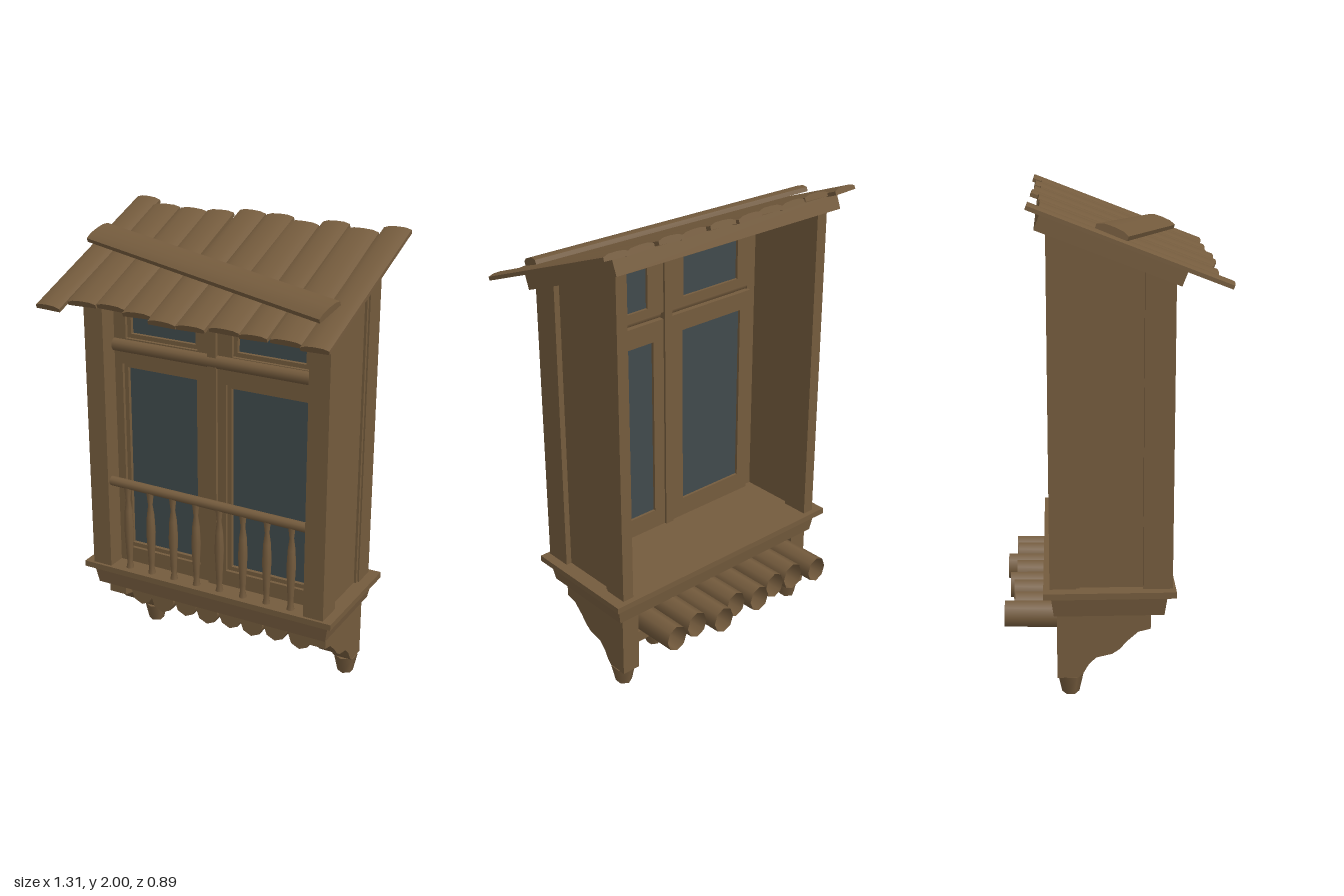
import * as THREE from 'three';
import { toCreasedNormals } from 'three/addons/utils/BufferGeometryUtils.js';

export function createModel() {
  const model = new THREE.Group();
  model.name = 'balconyWindow';
  const wood = new THREE.MeshStandardMaterial({ color: 0x745b3d, side: THREE.DoubleSide });
  wood.name = 'wood';
  const glass = new THREE.MeshStandardMaterial({ color: 0x404a4c, side: THREE.DoubleSide });
  glass.name = 'glass';

  function add(name, geo, x = 0, y = 0, z = 0, parent = model, mat = wood) {
    const m = new THREE.Mesh(geo, mat);
    m.name = name;
    m.position.set(x, y, z);
    parent.add(m);
    return m;
  }
  // Box given by its limits
  const block = (name, x0, x1, y0, y1, z0, z1, parent, mat) =>
    add(name, new THREE.BoxGeometry(x1 - x0, y1 - y0, z1 - z0),
      (x0 + x1) / 2, (y0 + y1) / 2, (z0 + z1) / 2, parent, mat);
  const polygon = (pts) => new THREE.Shape(pts.map((p) => new THREE.Vector2(p[0], p[1])));
  const extrude = (shape, depth) =>
    new THREE.ExtrudeGeometry(shape, { depth, bevelEnabled: false, curveSegments: 6 });
  // Side profile in (z, y), extruded across x from x0 to x1
  function sidePiece(name, pts, x0, x1) {
    const g = extrude(polygon(pts.map(([z, y]) => [-z, y])), x1 - x0);
    g.rotateY(Math.PI / 2);
    return add(name, g, x0, 0, 0);
  }
  // Round bar lying along x
  function bar(name, x0, x1, y, z, r, sides = 10) {
    const m = add(name, new THREE.CylinderGeometry(r, r, x1 - x0, sides), (x0 + x1) / 2, y, z);
    m.rotation.z = Math.PI / 2;
    return m;
  }
  // Plank with a slightly arched top, running along z
  function plank(name, width, length, t, parent) {
    const w = width / 2;
    const s = polygon([[-w, -t], [w, -t], [w, 0.2 * t], [w * 0.6, t * 0.85], [0, t],
      [-w * 0.6, t * 0.85], [-w, 0.2 * t]]);
    const g = extrude(s, length);
    g.translate(0, 0, -length / 2);
    return add(name, toCreasedNormals(g, 0.6), 0, 0, 0, parent);
  }

  // Roof, tilted down towards the front
  const slope = Math.atan(0.385), c = Math.cos(slope);
  const roof = new THREE.Group();
  roof.name = 'roof';
  roof.position.y = 1.859;
  roof.rotation.x = slope;
  model.add(roof);
  const planks = [ // x start, x end, back z, front z
    [-0.64, -0.527, -0.328, 0.437], [-0.525, -0.392, -0.285, 0.39], [-0.39, -0.262, -0.285, 0.382],
    [-0.26, -0.132, -0.29, 0.403], [-0.125, -0.003, -0.318, 0.425], [0.003, 0.13, -0.31, 0.428],
    [0.132, 0.262, -0.285, 0.41], [0.266, 0.386, -0.308, 0.42], [0.392, 0.525, -0.285, 0.415],
    [0.527, 0.645, -0.318, 0.43]];
  planks.forEach(([x0, x1, z0, z1], i) => {
    const p = plank('roofPlank', x1 - x0, (z1 - z0) / c, 0.013, roof);
    p.position.set((x0 + x1) / 2, i % 2 ? 0.003 : 0, (z0 + z1) / 2 / c);
    p.rotation.y = [-0.012, 0.008, 0, 0.01, -0.006][i % 5];
    p.rotation.z = i % 2 ? 0.03 : -0.03;
  });
  // Loose board lying across the planks
  const loose = plank('looseBoard', 0.128, 1.24, 0.015, roof);
  loose.position.set(-0.04, 0.032, 0.118);
  loose.rotation.y = Math.PI / 2 - 0.238;
  // Ceiling under the planks
  block('ceiling', -0.585, 0.58, -0.075, -0.012, -0.295, 0.295, roof);

  // Posts and side walls, their tops cut to the roof slope
  const top = (z) => 1.815 - 0.385 * z;
  const upright = (name, z0, z1, x0, x1) =>
    sidePiece(name, [[z0, 0.46], [z1, 0.46], [z1, top(z1)], [z0, top(z0)]], x0, x1);
  for (const s of [-1, 1]) {
    const span = (a, b) => (s > 0 ? [a, b] : [-b, -a]);
    upright('frontPost', 0.112, 0.23, ...span(0.47, 0.56));
    upright('sideWall', -0.17, 0.12, ...span(0.515, 0.535));
    upright('rearPost', -0.26, -0.155, ...span(0.5, 0.552));
    upright('wallBatten', -0.16, -0.14, ...span(0.5, 0.545));
  }

  // Ledge with a tapered base
  block('ledge', -0.6, 0.6, 0.442, 0.468, -0.285, 0.243);
  const base = new THREE.BoxGeometry(1.15, 0.09, 0.465);
  const bp = base.attributes.position;
  for (let i = 0; i < bp.count; i++) {
    if (bp.getY(i) < 0) bp.setXYZ(i, bp.getX(i) * 0.97, bp.getY(i), bp.getZ(i) * 0.95);
  }
  base.computeVertexNormals();
  add('ledgeBase', base, 0, 0.4, -0.023);

  // Window sashes: a frame with a glass pane
  function sash(name, x0, x1, y0, y1, px0, px1, py0, py1) {
    const g = new THREE.Group();
    g.name = name;
    model.add(g);
    const ring = (grow, depth, z) => {
      const s = polygon([[x0, y0], [x1, y0], [x1, y1], [x0, y1]]);
      const a = px0 - grow, b = px1 + grow, d = py0 - grow, e = py1 + grow;
      s.holes.push(polygon([[a, d], [a, e], [b, e], [b, d]]));
      add('sashFrame', extrude(s, depth), 0, 0, z, g);
    };
    ring(0, 0.035, 0.095);
    ring(0.018, 0.015, 0.13);
    block('pane', px0, px1, py0, py1, 0.107, 0.113, g, glass);
  }
  sash('leftLowerSash', 0.01, 0.475, 0.465, 1.455, 0.08, 0.425, 0.555, 1.365);
  sash('rightLowerSash', -0.475, -0.005, 0.465, 1.455, -0.415, -0.082, 0.555, 1.375);
  sash('leftUpperSash', 0.01, 0.475, 1.485, 1.76, 0.108, 0.412, 1.522, 1.7);
  sash('rightUpperSash', -0.475, -0.005, 1.485, 1.76, -0.395, -0.087, 1.525, 1.7);
  block('mullion', -0.017, 0.024, 0.465, 1.76, 0.085, 0.16);
  bar('transom', -0.472, 0.472, 1.474, 0.14, 0.029, 12);

  // Railing with turned balusters
  bar('handrail', -0.478, 0.47, 0.864, 0.2, 0.021).rotation.z = Math.PI / 2 - 0.012;
  const turned = [[0.018, 0], [0.012, 0.03], [0.014, 0.06], [0.021, 0.2], [0.017, 0.28],
    [0.01, 0.33], [0.017, 0.39]].map((p) => new THREE.Vector2(p[0], p[1]));
  const balusterGeo = new THREE.LatheGeometry(turned, 8);
  for (let i = 0; i < 8; i++) add('baluster', balusterGeo, -0.39 + i * 0.1125, 0.465, 0.2);

  // Floor logs, hollow at the back
  const logs = [ // x, back z, radius
    [-0.398, -0.445, 0.054], [-0.29, -0.405, 0.058], [-0.17, -0.412, 0.055], [-0.06, -0.43, 0.055],
    [0.055, -0.405, 0.055], [0.162, -0.445, 0.055], [0.277, -0.405, 0.055], [0.395, -0.412, 0.054]];
  logs.forEach(([x, zb, r], i) => {
    const zf = 0.1, y = i % 2 ? 0.288 : 0.297;
    const tube = new THREE.CylinderGeometry(r, r * 0.95, zf - zb, 8, 1, true);
    tube.rotateX(Math.PI / 2);
    tube.scale(1, 1.12, 1);
    add('floorLog', tube, x, y, (zf + zb) / 2).rotation.x = 0.02;
    const cap = new THREE.CircleGeometry(r, 8);
    cap.rotateZ(Math.PI / 2);
    cap.scale(1, 1.12, 1);
    add('logEnd', cap, x, y - 0.005, zf);
  });

  // Lower beam with hanging pegs
  block('lowerBeam', -0.46, 0.46, 0.18, 0.23, -0.205, -0.145);
  const pegGeo = new THREE.CylinderGeometry(0.049, 0.03, 0.065, 6);
  for (const x of [-0.325, -0.11, 0.11, 0.325]) add('peg', pegGeo, x, 0.151, -0.175);

  // Curved brackets with tapered feet
  const bracket = [[0.145, 0.36], [0.145, 0.287], [0.095, 0.275], [0.05, 0.235], [0.02, 0.2],
    [-0.01, 0.18], [-0.075, 0.165], [-0.105, 0.135], [-0.125, 0.1], [-0.145, 0.078],
    [-0.232, 0.078], [-0.232, 0.36]];
  const foot = new THREE.CylinderGeometry(0.053, 0.035, 0.08, 6);
  for (const s of [-1, 1]) {
    sidePiece('bracket', bracket, s * 0.495 - 0.042, s * 0.495 + 0.042);
    add('bracketFoot', foot, s * 0.495, 0.04, -0.178);
  }
  return model;
}
